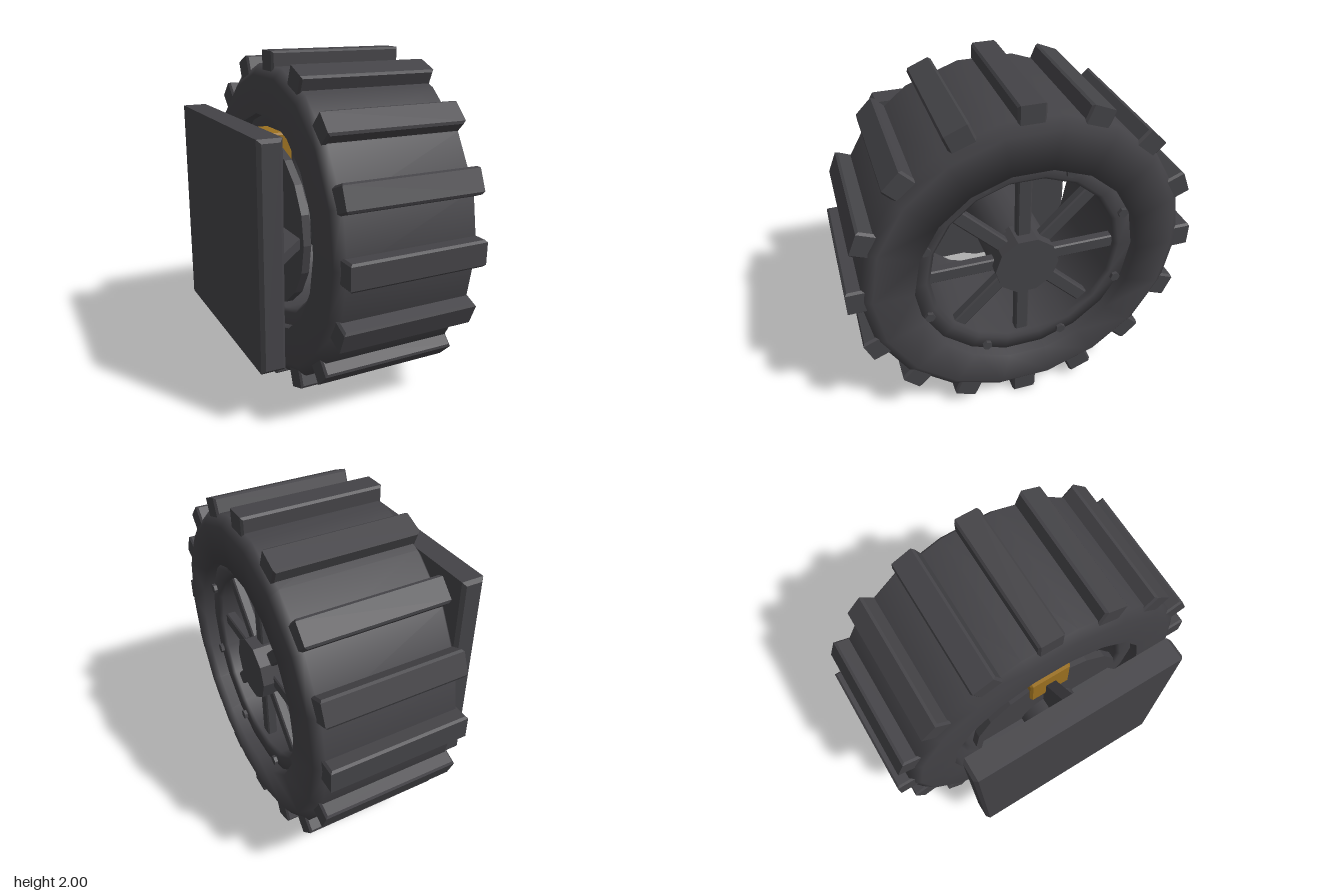
import * as THREE from 'three';

const dark = new THREE.MeshStandardMaterial({ color: 0x444347 });
dark.name = 'dark rubber and steel';
const gold = new THREE.MeshStandardMaterial({ color: 0x9c7120 });
gold.name = 'gold';

// Mesh with one flat normal per face
function part(name, geometry, material = dark) {
  const flat = geometry.index ? geometry.toNonIndexed() : geometry;
  flat.computeVertexNormals();
  const mesh = new THREE.Mesh(flat, material);
  mesh.name = name;
  return mesh;
}

// Smooth turned ring or rod around the x axis; points are [radius, x]
function turned(name, points, sides) {
  const g = new THREE.LatheGeometry(points.map(([r, x]) => new THREE.Vector2(r, x)), sides);
  const mesh = new THREE.Mesh(g.rotateZ(-Math.PI / 2), dark);
  mesh.name = name;
  return mesh;
}

// Box with chamfered edges, centred on the origin
function chamferBox(w, h, d, b) {
  const x = w / 2 - b, y = h / 2 - b;
  const shape = new THREE.Shape([[-x, -y], [x, -y], [x, y], [-x, y]].map(p => new THREE.Vector2(...p)));
  const g = new THREE.ExtrudeGeometry(shape, {
    depth: d - 2 * b, bevelEnabled: true, bevelSize: b, bevelThickness: b, bevelSegments: 1,
  });
  return g.center();
}

// Copies of a part spread around the x axis
function around(name, count, offset, make) {
  const group = new THREE.Group();
  group.name = name;
  for (let i = 0; i < count; i++) {
    const arm = new THREE.Group();
    arm.rotation.x = offset + (i * 2 * Math.PI) / count;
    arm.add(make());
    group.add(arm);
  }
  return group;
}

function at(mesh, x, y, z) {
  mesh.position.set(x, y, z);
  return mesh;
}

function bolt(r, length) {
  return part('bolt', new THREE.CylinderGeometry(r, r, length, 6).rotateZ(-Math.PI / 2));
}

export function createModel() {
  const model = new THREE.Group();
  model.name = 'wheel assembly';
  const wheel = new THREE.Group();
  wheel.name = 'wheel';
  wheel.position.y = 1;
  model.add(wheel);

  // Tyre with chamfered shoulders, and its tread bars
  wheel.add(turned('tyre', [
    [0.645, -0.29], [0.868, -0.29], [0.93, -0.245], [0.93, 0.535],
    [0.868, 0.58], [0.645, 0.58], [0.645, -0.29],
  ], 18));
  wheel.add(around('treads', 16, 0, () =>
    at(part('tread', chamferBox(0.815, 0.13, 0.15, 0.012)), 0.1425, 0.935, 0)));

  // Recessed rim, rim bolts, spokes and hub
  wheel.add(turned('rim', [
    [0.65, -0.225], [0.65, 0.515], [0.567, 0.515],
    [0.545, 0.495], [0.545, -0.205], [0.567, -0.225], [0.65, -0.225],
  ], 18));
  wheel.add(around('rim bolts', 8, Math.PI / 8, () => at(bolt(0.03, 0.04), 0.515, 0.61, 0)));
  wheel.add(around('spokes', 8, 0, () =>
    at(part('spoke', chamferBox(0.06, 0.41, 0.08, 0.008)), 0.445, 0.35, 0)));
  const hub = new THREE.CylinderGeometry(0.185, 0.185, 0.16, 10).rotateZ(-Math.PI / 2);
  wheel.add(at(part('hub', hub), 0.46, 0, 0));
  wheel.add(turned('axle', [[0.18, -0.45], [0.18, 0.4]], 18));

  // Brake disc and caliper
  const disc = new THREE.CylinderGeometry(0.49, 0.49, 0.045, 18).rotateZ(-Math.PI / 2);
  wheel.add(at(part('brakeDisc', disc), -0.2475, 0, 0));
  wheel.add(at(part('caliper', chamferBox(0.12, 0.215, 0.25, 0.012), gold), -0.227, 0.447, 0));

  // Mounting plate with bolts
  wheel.add(at(part('mountingPlate', chamferBox(0.14, 1.265, 1.265, 0.02)), -0.51, 0, 0));
  for (const y of [-0.385, 0.385]) {
    for (const z of [-0.385, 0.385]) wheel.add(at(bolt(0.032, 0.05), -0.433, y, z));
  }

  // Four gussets bracing the plate to the axle
  const outline = [[-0.45, 0.1], [-0.25, 0.1], [-0.25, 0.42], [-0.45, 0.62]];
  const gusset = new THREE.Shape(outline.map(p => new THREE.Vector2(...p)));
  wheel.add(around('gussets', 4, 0, () => {
    const g = new THREE.ExtrudeGeometry(gusset, { depth: 0.06, bevelEnabled: false });
    return part('gusset', g.translate(0, 0, -0.03));
  }));

  return model;
}
